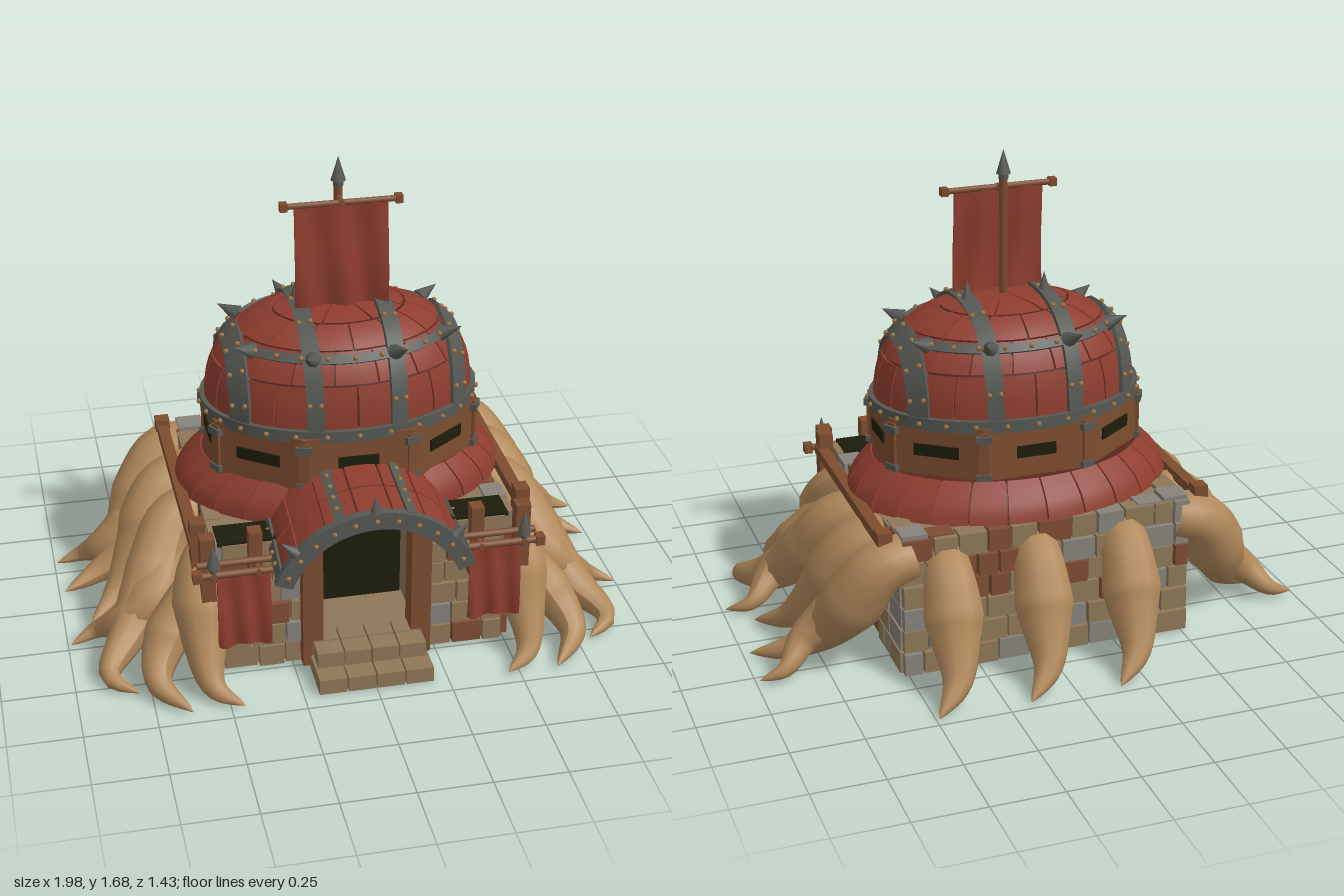
import * as THREE from 'three';
import { mergeGeometries } from 'three/addons/utils/BufferGeometryUtils.js';

const V = (x, y, z) => new THREE.Vector3(x, y, z);
const lerp = THREE.MathUtils.lerp;
const paint = (color) => new THREE.MeshStandardMaterial({ color });

const box = (w, h, d, x, y, z, ry = 0) => new THREE.BoxGeometry(w, h, d).rotateY(ry).translate(x, y, z);
const rod = (r, len, x, y, z, axis = 'y') => {
  const g = new THREE.CylinderGeometry(r, r, len, 8);
  if (axis === 'x') g.rotateZ(Math.PI / 2);
  if (axis === 'z') g.rotateX(Math.PI / 2);
  return g.translate(x, y, z);
};
const spike = (p, dir, r = 0.025, h = 0.075) => new THREE.ConeGeometry(r, h, 8).translate(0, h / 2, 0)
  .applyQuaternion(new THREE.Quaternion().setFromUnitVectors(V(0, 1, 0), dir.clone().normalize()))
  .translate(p.x, p.y, p.z);
const rivet = (p) => new THREE.SphereGeometry(0.0095, 6, 4).translate(p.x, p.y, p.z);

// A slab bent by a rule: u runs across, v runs up, w runs from inside (0) to outside (1)
function bent(nu, nv, fn) {
  const g = new THREE.BoxGeometry(1, 1, 1, nu, nv, 1).translate(0.5, 0.5, 0.5);
  const p = g.attributes.position;
  for (let i = 0; i < p.count; i++) {
    const q = fn(p.getX(i), p.getY(i), p.getZ(i));
    p.setXYZ(i, q.x, q.y, q.z);
  }
  g.computeVertexNormals();
  return g;
}

// Root: a tube that swells, then tapers to a point
function root(points, r) {
  const N = 24, M = 10;
  const curve = new THREE.CatmullRomCurve3(points.map((p) => V(...p)));
  const g = new THREE.TubeGeometry(curve, N, 1, M);
  const p = g.attributes.position;
  for (let i = 0; i <= N; i++) {
    const t = i / N, c = curve.getPointAt(t);
    const s = r * (t < 0.38 ? lerp(0.74, 1, t / 0.38) : Math.pow(1 - (t - 0.38) / 0.62, 0.8)) + 0.001;
    for (let j = 0; j <= M; j++) {
      const k = i * (M + 1) + j;
      const q = V().fromBufferAttribute(p, k).sub(c).multiplyScalar(s).add(c);
      p.setXYZ(k, q.x, Math.max(q.y, 0.002), q.z);
    }
  }
  g.computeVertexNormals();
  return g;
}

// Dome surface: squarish oval cap, off = distance from the shell
const CZ = 0.042, A = 0.465, B = 0.336, H = 0.355, Y0 = 0.82;
function dome(a, t, off = 0) {
  const r = Math.pow(Math.max(Math.cos(t), 0), 0.8), h = Math.pow(Math.sin(t), 0.8);
  return V((A + off) * r * Math.sin(a), Y0 + (H + off) * h, CZ + (B + off) * r * Math.cos(a));
}
function domeSlice(x, phi, off) {
  const z = Math.cos(phi) * Math.sqrt(1 - (x / A) ** 2);
  const r = Math.min(1, Math.hypot(x / A, z));
  const h = Math.pow(Math.max(0, 1 - Math.pow(r, 2.5)), 0.4);
  return V(x * (1 + off / A), Y0 + (H + off) * h, CZ + (B + off) * z);
}
// Flared lower roof
function skirt(a, v, off) {
  const rx = lerp(0.575, 0.48, v) + 0.02 * Math.sin(v * Math.PI) + off;
  const rz = lerp(0.42, 0.35, v) + 0.02 * Math.sin(v * Math.PI) + off;
  return V(rx * Math.sin(a), lerp(0.505, 0.63, v) + off * 0.5, lerp(0.012, 0.03, v) + rz * Math.cos(a));
}
// Barrel roof of the porch; v runs from front to back
const porch = (a, v, off) => V((0.335 + off) * Math.sin(a) * lerp(1, 0.97, v),
  lerp(0.32, 0.36, v) + (0.335 + off) * Math.cos(a), lerp(0.65, 0.36, v));

export function createModel() {
  const model = new THREE.Group();
  const tile = paint(0x8e3d2e), tileGap = paint(0x58281f), wood = paint(0x7d4d2f), iron = paint(0x555853),
    bronze = paint(0xa0713c), bark = paint(0xb0885a), stoneTan = paint(0x8f7858), stoneRed = paint(0x7f4d34),
    stoneGrey = paint(0x87827b), dark = paint(0x1d1d0c);
  const add = (name, mat, geos) => {
    const m = new THREE.Mesh(mergeGeometries(geos), mat);
    m.name = name;
    model.add(m);
  };
  let seed = 7;
  const rnd = () => (seed = (seed * 16807) % 2147483647) / 2147483647;

  // Base with a door recess
  add('baseCore', stoneTan, [
    box(0.96, 0.49, 0.58, 0, 0.255, -0.1),
    ...[-1, 1].map((s) => box(0.3, 0.49, 0.28, s * 0.33, 0.255, 0.32)),
    box(0.38, 0.1, 0.28, 0, 0.06, 0.32),
  ]);
  add('flatRoof', dark, [box(1, 0.012, 0.12, 0, 0.512, 0.425)]);
  add('doorway', dark, [box(0.35, 0.44, 0.008, 0, 0.33, 0.27)]);
  add('doorLintel', dark, [box(0.36, 0.05, 0.2, 0, 0.525, 0.38)]);

  // Stone courses in three colours
  const bricks = [[], [], []];
  const course = (cx, cz, ry, width, redShare) => {
    for (let row = 0; row < 6; row++) {
      let x = -width / 2;
      while (x < width / 2 - 0.01) {
        let w = 0.07 + rnd() * 0.055;
        if (width / 2 - x - w < 0.05) w = width / 2 - x;
        const g = box(w - 0.008, 0.077, 0.05 + rnd() * 0.025, x + w / 2, 0.052 + row * 0.084, 0);
        const pick = rnd();
        bricks[pick < redShare ? 1 : pick < redShare + 0.25 ? 2 : 0].push(g.rotateY(ry).translate(cx, 0, cz));
        x += w;
      }
    }
  };
  course(0, -0.39, Math.PI, 1.04, 0.28);
  for (const s of [-1, 1]) {
    course(s * 0.49, 0.035, s * Math.PI / 2, 0.87, 0.2);
    course(s * 0.345, 0.455, 0, 0.29, 0.1);
    // Corner cap stones
    bricks[2].push(box(0.09, 0.05, 0.085, s * 0.47, 0.5, -0.365));
    bricks[s < 0 ? 2 : 1].push(box(0.09, 0.04, 0.07, s * 0.375, 0.495, -0.372));
    bricks[0].push(box(0.07, 0.04, 0.09, s * 0.48, 0.495, -0.27));
  }
  [stoneTan, stoneRed, stoneGrey].forEach((m, i) => add(['tanStones', 'redStones', 'greyStones'][i], m, bricks[i]));

  // Front steps
  const steps = [];
  for (let i = 0; i < 4; i++) {
    for (let j = 0; j < 3; j++) steps.push(box(0.095, 0.055, 0.075, -0.15 + i * 0.1, 0.035, 0.65 - j * 0.08));
    for (let j = 0; j < 2; j++) steps.push(box(0.09, 0.055, 0.075, -0.143 + i * 0.095, 0.09, 0.575 - j * 0.08));
  }
  add('frontSteps', stoneTan, steps);

  // Timber frame
  const timber = [];
  for (const s of [-1, 1]) {
    timber.push(
      box(0.07, 0.49, 0.08, s * 0.188, 0.265, 0.49), box(0.045, 0.27, 0.05, s * 0.38, 0.44, 0.505),
      box(0.05, 0.24, 0.055, s * 0.56, 0.46, 0.42), box(0.04, 0.035, 0.85, s * 0.57, 0.508, 0.025),
      box(0.05, 0.07, 0.05, s * 0.57, 0.51, -0.375), box(0.05, 0.24, 0.05, s * 0.54, 0.445, 0.505),
      rod(0.013, 0.28, s * 0.44, 0.458, 0.575, 'x'), rod(0.012, 0.26, s * 0.45, 0.475, 0.535, 'x'),
      rod(0.011, 0.1, s * 0.38, 0.458, 0.54, 'z'), rod(0.011, 0.1, s * 0.53, 0.458, 0.54, 'z'),
      box(0.03, 0.035, 0.035, s * 0.585, 0.458, 0.575));
  }
  add('timberFrame', wood, timber);

  // Lower roof tiles
  const skirtTiles = [];
  const NS = 26;
  for (let i = 0; i < NS; i++) {
    skirtTiles.push(bent(2, 4, (u, v, w) => skirt((i + 0.02 + u * 0.95) / NS * Math.PI * 2, v, -0.02 + w * 0.025)));
  }
  add('lowerRoofTiles', tile, skirtTiles);
  add('lowerRoofUnderlay', tileGap, [
    bent(48, 4, (u, v, w) => skirt(u * Math.PI * 2, v, -0.03 + w * 0.022)),
    new THREE.CylinderGeometry(1, 1, 0.02, 40).scale(0.48, 1, 0.35).translate(0, 0.62, 0.03),
  ]);

  // Eight-sided drum with slit windows
  const drum = new THREE.CylinderGeometry(1, 1, 0.3, 8).rotateY(Math.PI / 8).scale(0.495, 1, 0.365)
    .translate(0, 0.67, CZ + 0.004).toNonIndexed();
  drum.computeVertexNormals();
  add('drumWall', wood, [drum]);
  const slits = [], brackets = [], posts = [];
  for (let k = 0; k < 8; k++) {
    const a = k * Math.PI / 4, b = a + Math.PI / 8;
    const turn = (t) => Math.atan2(Math.sin(t) / 0.46, Math.cos(t) / 0.34);
    slits.push(box(k % 2 ? 0.16 : 0.14, 0.042, 0.009, 0.459 * Math.sin(a), 0.722, CZ + 0.004 + 0.339 * Math.cos(a), turn(a)));
    const x = 0.485 * Math.sin(b), z = CZ + 0.004 + 0.357 * Math.cos(b);
    posts.push(box(0.035, 0.17, 0.02, x, 0.72, z, turn(b)));
    brackets.push(box(0.055, 0.026, 0.036, x, 0.783, z, turn(b)), box(0.05, 0.022, 0.03, x, 0.643, z, turn(b)));
  }
  add('slitWindows', dark, slits);
  add('drumPosts', wood, posts);
  add('drumBrackets', iron, brackets);

  // Dome tiles over a dark shell
  const domeTiles = [], rows = [0, 0.42, 0.8, 1.15, Math.PI / 2], counts = [20, 18, 14, 8];
  counts.forEach((n, r) => {
    for (let i = 0; i < n; i++) {
      domeTiles.push(bent(3, 4, (u, v, w) => dome((i + r * 0.5 + 0.025 + u * 0.95) / n * Math.PI * 2,
        lerp(rows[r] + 0.008, rows[r + 1] - 0.012, v), -0.02 + w * 0.022)));
    }
  });
  add('domeTiles', tile, domeTiles);
  add('domeShell', tileGap, [bent(48, 14, (u, v, w) => dome(u * Math.PI * 2, v * Math.PI / 2, -0.03 + w * 0.02))]);

  // Iron straps, rivets and spikes on the dome
  const straps = [], rivets = [], spikes = [];
  straps.push(bent(64, 1, (u, v, w) => {
    const p = dome(u * Math.PI * 2, 0, -0.03 + w * 0.048);
    p.y = lerp(0.803, 0.845, v);
    return p;
  }));
  for (let i = 0; i < 28; i++) rivets.push(rivet(dome(i / 28 * Math.PI * 2, 0, 0.021).setY(0.825)));
  for (const x of [-0.37, -0.14, 0.14, 0.37]) {
    straps.push(bent(2, 36, (u, v, w) => domeSlice(x - 0.028 + u * 0.056, v * Math.PI, -0.01 + w * 0.024)));
    for (let i = 1; i < 14; i += 2) {
      for (const e of [-0.018, 0.018]) rivets.push(rivet(domeSlice(x + e, i / 14 * Math.PI, 0.016)));
    }
  }
  const mid = V(0, 0.92, CZ), ringT = 0.7;
  for (const back of [0, Math.PI]) {
    straps.push(bent(24, 2, (u, v, w) => dome(back + (u - 0.5) * 2.1, lerp(0.65, 0.75, v), -0.01 + w * 0.023)));
    for (let i = 0; i < 9; i++) rivets.push(rivet(dome(back + (i / 8 - 0.5) * 1.9, ringT, 0.016)));
    for (const a of [-1.02, -0.37, 0.37, 1.02]) {
      const p = dome(back + a, ringT, 0.005);
      spikes.push(spike(p, p.clone().sub(mid), 0.03, 0.08));
    }
  }
  for (const s of [-1, 1]) {
    spikes.push(spike(V(s * 0.14, 1.165, 0.02), V(0, 1, 0), 0.024, 0.08));
  }

  // Porch roof
  const porchTiles = [];
  for (let i = 0; i < 7; i++) {
    for (let j = 0; j < 2; j++) {
      porchTiles.push(bent(3, 1, (u, v, w) => porch((i + 0.03 + u * 0.94 - 3.5) * 0.33, (j + 0.03 + v * 0.94) / 2, w * 0.02)));
    }
  }
  add('porchTiles', tile, porchTiles);
  add('porchShell', tileGap, [bent(24, 1, (u, v, w) => porch((u - 0.5) * 2.3, 0.02 + v * 0.98, -0.015 + w * 0.025))]);
  straps.push(bent(28, 1, (u, v, w) => porch((u - 0.5) * 2.42, -0.04 + v * 0.085, -0.035 + w * 0.062)));
  for (const a of [-1.12, -0.34, 0.34, 1.12]) {
    straps.push(bent(1, 1, (u, v, w) => porch(a - 0.05 + u * 0.1, v, w * 0.03)));
    for (let i = 1; i < 5; i++) rivets.push(rivet(porch(a, i / 5, 0.031)));
  }
  for (let i = 0; i < 11; i++) rivets.push(rivet(porch((i / 10 - 0.5) * 2.2, -0.045, -0.004)));
  for (const a of [-0.85, 0, 0.85]) spikes.push(spike(porch(a, 0.01, 0.02), V(Math.sin(a), Math.cos(a), 0), 0.022, 0.065));

  // Front banners and the roof flag
  const cloth = (x, w, y0, y1, z, amp) => bent(16, 8, (u, v, d) => V(x + (u - 0.5) * w, lerp(y0, y1, v) - 0.006 * Math.sin(u * 9) * (1 - v),
    z + d * 0.008 + amp * Math.sin(u * 14 + v * 2) * (1.2 - v * 0.6) + amp * 0.5 * Math.sin(v * 5)));
  add('banners', tile, [cloth(-0.43, 0.18, 0.175, 0.455, 0.573, 0.007), cloth(0.43, 0.18, 0.175, 0.455, 0.573, 0.007),
    cloth(0, 0.32, 1.16, 1.535, 0.096, 0.011)]);
  add('flagPole', wood, [rod(0.015, 0.46, 0, 1.38, 0.045), rod(0.011, 0.4, 0, 1.54, 0.095, 'x'), rod(0.012, 0.07, 0, 1.54, 0.07, 'z'),
    box(0.025, 0.028, 0.03, -0.195, 1.54, 0.095), box(0.025, 0.028, 0.03, 0.195, 1.54, 0.095)]);
  spikes.push(spike(V(0, 1.6, 0.045), V(0, 1, 0), 0.026, 0.085), rod(0.018, 0.02, 0, 1.592, 0.045));
  for (const s of [-1, 1]) spikes.push(spike(V(s * 0.53, 0.49, 0.575), V(0, 1, 0), 0.024, 0.085), rod(0.012, 0.06, s * 0.53, 0.47, 0.575));
  add('ironStraps', iron, straps);
  add('spikes', iron, spikes);
  add('rivets', bronze, rivets);

  // Giant roots: mirrored pairs at the sides with forked tips, three behind
  const sideRoots = [
    [0.1, [[0.47, 0.44, 0.31], [0.54, 0.36, 0.39], [0.56, 0.17, 0.52], [0.545, 0.05, 0.63], [0.455, 0.02, 0.71]]],
    [0.08, [[0.56, 0.32, 0.37], [0.68, 0.15, 0.45], [0.725, 0.06, 0.57], [0.63, 0.02, 0.71]]],
    [0.105, [[0.49, 0.44, 0.05], [0.61, 0.39, 0.09], [0.69, 0.24, 0.19], [0.8, 0.1, 0.33], [0.88, 0.04, 0.48], [0.79, 0.02, 0.57]]],
    [0.08, [[0.62, 0.34, 0.14], [0.71, 0.2, 0.27], [0.8, 0.13, 0.28], [0.9, 0.05, 0.21], [0.99, 0.02, 0.24]]],
    [0.105, [[0.49, 0.44, -0.18], [0.61, 0.39, -0.15], [0.7, 0.22, -0.07], [0.8, 0.08, 0.02], [0.91, 0.02, 0.13]]],
    [0.11, [[0.47, 0.44, -0.37], [0.58, 0.41, -0.37], [0.69, 0.23, -0.29], [0.77, 0.1, -0.19], [0.86, 0.05, -0.16], [0.98, 0.02, -0.1]]],
    [0.08, [[0.62, 0.34, -0.34], [0.72, 0.2, -0.25], [0.82, 0.12, -0.24], [0.9, 0.05, -0.3], [0.99, 0.02, -0.3]]],
  ];
  const roots = [];
  for (const [r, pts] of sideRoots) for (const s of [-1, 1]) roots.push(root(pts.map(([x, y, z]) => [s * x, y, z]), r));
  for (const x of [-0.28, 0.04, 0.36]) {
    roots.push(root([[x, 0.42, -0.36], [x, 0.36, -0.43], [x + 0.01, 0.21, -0.52], [x + 0.04, 0.08, -0.63], [x + 0.13, 0.01, -0.72]], 0.105));
  }
  add('roots', bark, roots);
  return model;
}
